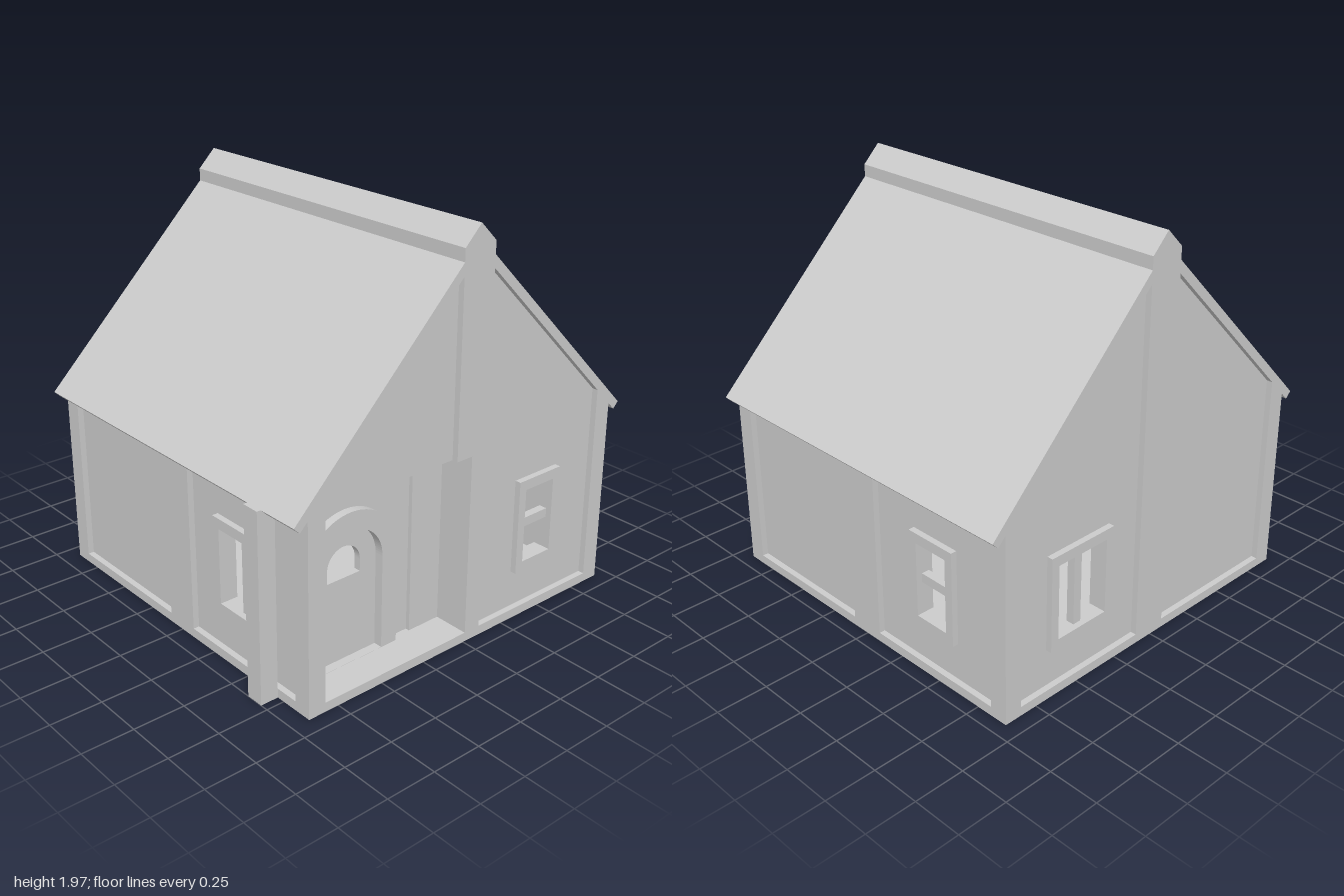
import * as THREE from 'three';

const mat = new THREE.MeshStandardMaterial({ color: 0xcccccc, flatShading: true });
const HALF = 0.92;        // half width of the square house
const PANEL = 0.89;       // plane of the recessed wall panels
const INNER = 0.83;       // inner face of the walls and inner edge of corner posts
const MID = 0.09;         // half width of the middle posts
const SILL = 0.045;
const roofY = (x) => 1.85 - Math.abs(x);   // underside of the roof

function add(parent, name, geometry) {
  const mesh = new THREE.Mesh(geometry, mat);
  mesh.name = name;
  parent.add(mesh);
  return mesh;
}

function box(parent, name, x0, x1, y0, y1, z0, z1) {
  const mesh = add(parent, name, new THREE.BoxGeometry(x1 - x0, y1 - y0, z1 - z0));
  mesh.position.set((x0 + x1) / 2, (y0 + y1) / 2, (z0 + z1) / 2);
  return mesh;
}

const poly = (pts) => new THREE.Shape(pts.map(([x, y]) => new THREE.Vector2(x, y)));
const rect = (x0, x1, y0, y1) => poly([[x0, y0], [x1, y0], [x1, y1], [x0, y1]]);

// Upright opening with a round head
function arch(cx, r, y0, spring) {
  const s = new THREE.Shape();
  s.moveTo(cx - r, y0);
  s.lineTo(cx + r, y0);
  s.lineTo(cx + r, spring);
  s.absarc(cx, spring, r, 0, Math.PI, false);
  s.closePath();
  return s;
}

function slab(parent, name, shape, holes, z0, z1) {
  shape.holes.push(...holes);
  const g = new THREE.ExtrudeGeometry(shape, { depth: z1 - z0, bevelEnabled: false, curveSegments: 24 });
  g.translate(0, 0, z0);
  return add(parent, name, g);
}

// Framed window with one glazing bar
function windowFrame(parent, cx, width, upright) {
  const w = width / 2, o = w - 0.043;
  slab(parent, 'windowFrame', rect(cx - w, cx + w, 0.23, 0.7),
    [rect(cx - o, cx + o, 0.28, 0.65)], INNER, HALF);
  if (upright) box(parent, 'windowBar', cx - 0.022, cx + 0.022, 0.28, 0.65, 0.85, 0.89);
  else box(parent, 'windowBar', cx - o, cx + o, 0.44, 0.485, 0.85, 0.89);
}

// One side of the house, built facing +z and turned into place
function wall(house, name, turn, { gable, width, upright, door }) {
  const g = new THREE.Group();
  g.name = name;
  g.rotation.y = turn;
  house.add(g);
  const cx = 0.46, w = width / 2 - 0.03;

  const outline = gable
    ? [[-PANEL, 0], [PANEL, 0], [PANEL, roofY(PANEL)], [0, roofY(0)], [-PANEL, roofY(PANEL)]]
    : [[-PANEL, 0], [PANEL, 0], [PANEL, 0.93], [-PANEL, 0.93]];
  const holes = [rect(cx - w, cx + w, 0.25, 0.68)];
  if (door) holes.push(rect(-INNER, 0, SILL, 0.93));
  slab(g, 'wallPanel', poly(outline), holes, INNER, PANEL);

  // Timber frame standing proud of the panel
  box(g, 'sill', -HALF, HALF, 0, SILL, INNER, HALF);
  const innerTop = gable ? roofY(INNER) : 0.93;
  for (const s of [-1, 1]) {
    const pts = [[s * INNER, 0], [s * HALF, 0], [s * HALF, 0.93], [s * INNER, innerTop]];
    slab(g, 'cornerPost', poly(pts), [], PANEL - 0.01, HALF);
  }
  const top = gable ? roofY(MID) : 0.93;
  const foot = door ? [[0, 0], [MID, 0]] : [[-MID, 0], [MID, 0]];
  const notch = door ? [[-MID, 0.93], [0, 0.93]] : [];
  const peak = gable ? [[0, roofY(0)]] : [];
  slab(g, 'middlePost', poly([...foot, [MID, top], ...peak, [-MID, top], ...notch]), [], PANEL - 0.01, HALF);

  windowFrame(g, cx, width, upright);
  return g;
}

// Recessed porch with the arched door
function porch(house) {
  const g = new THREE.Group();
  g.name = 'porch';
  house.add(g);
  const cx = -0.555, spring = 0.51, back = 0.72;
  slab(g, 'porchBackWall', rect(-INNER, 0.02, 0.02, 0.95),
    [arch(cx, 0.185, SILL, spring)], back - 0.05, back);
  slab(g, 'doorSurround', arch(cx, 0.274, SILL, spring),
    [arch(cx, 0.185, SILL + 0.001, spring)], back, back + 0.04);
  slab(g, 'door', arch(cx, 0.19, SILL, spring),
    [arch(cx, 0.093, 0.45, spring)], back - 0.04, back - 0.005);
  box(g, 'porchJamb', -0.18, 0, SILL, 0.93, back, back + 0.02);
  box(g, 'porchSideWall', 0, 0.04, SILL, 0.93, back - 0.05, PANEL);
  box(g, 'porchCeiling', -INNER, 0.04, 0.93, 0.96, back - 0.05, PANEL);
}

export function createModel() {
  const model = new THREE.Group();
  model.name = 'house';
  const house = new THREE.Group();
  house.name = 'houseBody';
  house.position.x = 0.01;
  model.add(house);

  box(house, 'floor', -HALF, HALF, 0, SILL, -HALF, HALF);

  wall(house, 'frontWall', 0, { gable: true, width: 0.27, upright: false, door: true });
  wall(house, 'backWall', Math.PI, { gable: true, width: 0.38, upright: true });
  wall(house, 'leftWall', Math.PI / 2, { gable: false, width: 0.27, upright: false });
  wall(house, 'rightWall', -Math.PI / 2, { gable: false, width: 0.38, upright: true });
  // The back window sits on the same side as the front one
  const backWall = house.getObjectByName('backWall');
  house.remove(backWall);
  house.add(mirroredBack(backWall));

  porch(house);

  // Roof slab with a raised ridge cap
  slab(house, 'roof', poly([
    [-0.96, 0.89], [0, 1.85], [0.96, 0.89], [0.99, 0.92], [MID, 1.82], [MID, 1.88],
    [0, 1.97], [-MID, 1.88], [-MID, 1.82], [-0.99, 0.92],
  ]), [], -HALF, HALF);

  // Downpipe post beside the right wall
  box(house, 'sidePost', -1.01, -HALF, 0, 0.92, 0.62, 0.71);
  return model;
}

// Flip the back wall left to right so its window moves to the other half
function mirroredBack(group) {
  group.scale.x = -1;
  return group;
}
